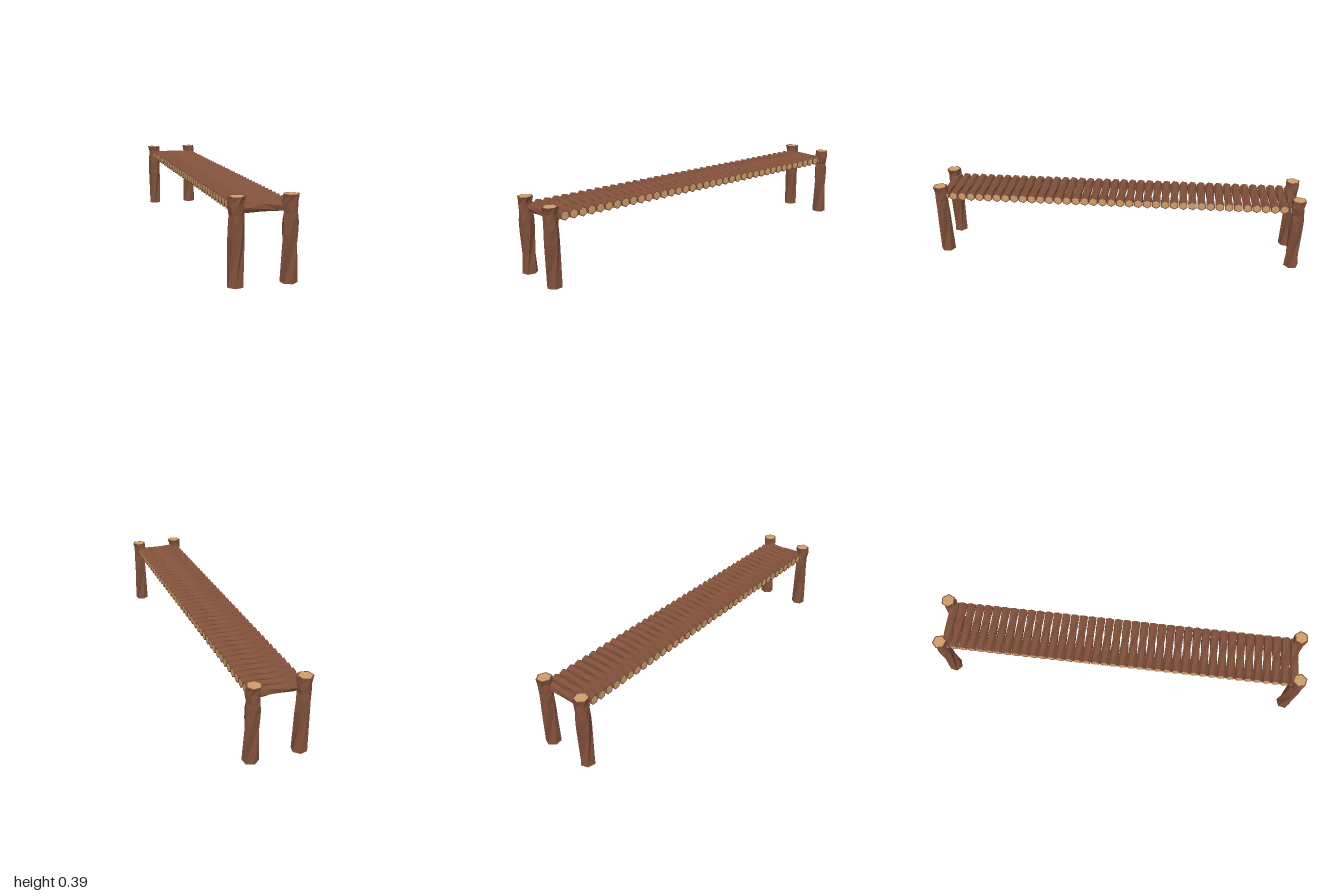
import * as THREE from 'three';

const SIDES = 6;

// Faceted tube from sections [height, radius, twist in degrees, xOffset, zOffset], listed top first
function loft(sections) {
  const rows = sections.length - 1;
  const geo = new THREE.CylinderGeometry(1, 1, 1, SIDES, rows, true);
  const pos = geo.attributes.position;
  for (let i = 0; i < pos.count; i++) {
    const [y, r, twist, ox = 0, oz = 0] = sections[Math.floor(i / (SIDES + 1))];
    const a = ((i % (SIDES + 1)) / SIDES) * Math.PI * 2 + THREE.MathUtils.degToRad(twist);
    pos.setXYZ(i, ox + Math.sin(a) * r, y, oz + Math.cos(a) * r);
  }
  const flat = geo.toNonIndexed();
  flat.computeVertexNormals();
  return flat;
}

// Same section with its radius scaled
const inset = ([y, r, ...rest], k) => [y, r * k, ...rest];

// Bark with a rim at each end, and the cut wood inside the rims
function timber(sections, topRim, bottomRim) {
  const top = sections[0];
  const bottom = sections[sections.length - 1];
  return {
    bark: loft([inset(top, topRim), ...sections, inset(bottom, bottomRim)]),
    topCut: loft([inset(top, 0), inset(top, topRim)]),
    bottomCut: loft([inset(bottom, bottomRim), inset(bottom, 0)]),
  };
}

export function createModel() {
  const bark = new THREE.MeshStandardMaterial({ color: 0x80503a, flatShading: true });
  bark.name = 'bark';
  const cutWood = new THREE.MeshStandardMaterial({ color: 0xcf9e6b, flatShading: true });
  cutWood.name = 'cutWood';

  const model = new THREE.Group();
  model.name = 'logWalkway';

  function addTimber(name, parts) {
    const group = new THREE.Group();
    group.name = name;
    for (const [part, geo] of Object.entries(parts)) {
      const mesh = new THREE.Mesh(geo, part === 'bark' ? bark : cutWood);
      mesh.name = name + part[0].toUpperCase() + part.slice(1);
      group.add(mesh);
    }
    model.add(group);
    return group;
  }

  // Four corner posts, each turned a little differently
  const postParts = timber([
    [0.39, 0.039, 15, 0.003],
    [0.355, 0.036, 3, -0.003],
    [0.31, 0.034, 18, 0.002],
    [0.27, 0.037, 31, 0.001],
    [0.215, 0.037, 24, 0],
    [0, 0.039, -13, -0.002],
  ], 0.83, 0.97);
  for (const sx of [-1, 1]) {
    for (const sz of [-1, 1]) {
      const name = (sz > 0 ? 'front' : 'back') + (sx > 0 ? 'Left' : 'Right') + 'Post';
      const post = addTimber(name, postParts);
      post.position.set(sx * 0.121, 0, sz * 0.961);
      post.rotation.y = (sx > 0 ? -0.7 : 0) + (sz < 0 ? Math.PI : 0);
    }
  }

  // Deck of short logs laid side by side
  const logParts = timber([
    [0.13, 0.0255, -25],
    [0.065, 0.0235, -16, 0.001],
    [0, 0.0225, -37, -0.001],
    [-0.07, 0.0245, 0, 0.001],
    [-0.13, 0.0255, -12],
  ], 0.8, 0.8);
  const logCount = 40;
  for (let i = 0; i < logCount; i++) {
    const log = addTimber('deckLog', logParts);
    log.rotation.z = -Math.PI / 2;
    log.position.set(0, 0.336, THREE.MathUtils.lerp(-0.94, 0.94, i / (logCount - 1)));
  }
  return model;
}
